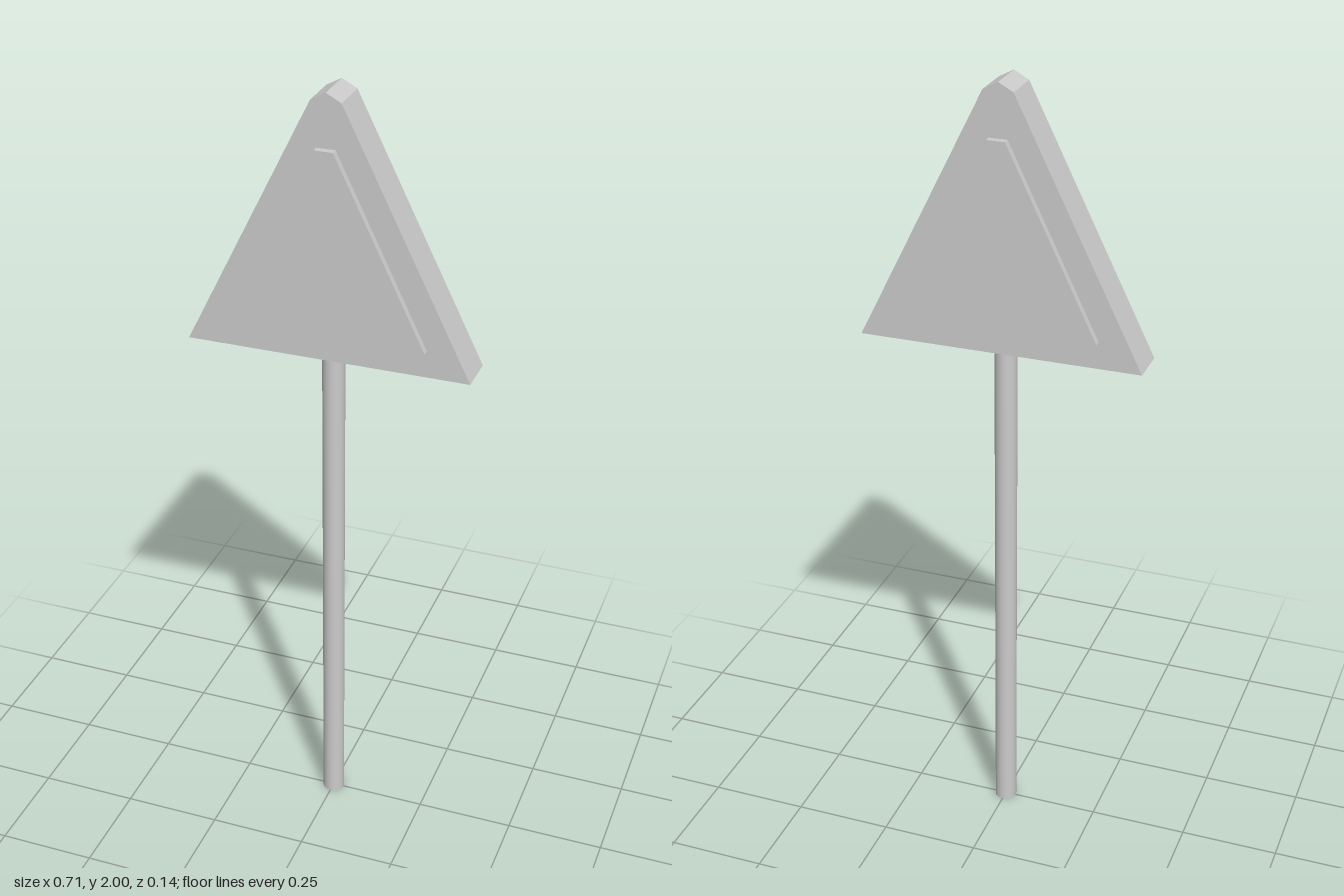
import * as THREE from 'three';

const material = new THREE.MeshStandardMaterial({ color: 0xcccccc });

// Flat plate with a mirrored outline, given as right-hand points from bottom to top
function plate(name, rightSide, tip, zBack, zFront) {
  const leftSide = rightSide.map(([x, y]) => [-x, y]).reverse();
  const outline = [...rightSide, ...tip, ...leftSide].map(([x, y]) => new THREE.Vector2(x, y));
  const geometry = new THREE.ExtrudeGeometry(new THREE.Shape(outline), {
    depth: zFront - zBack,
    bevelEnabled: false,
  });
  geometry.translate(0, 0, zBack);
  const mesh = new THREE.Mesh(geometry, material);
  mesh.name = name;
  return mesh;
}

export function createModel() {
  const model = new THREE.Group();
  model.name = 'warningSign';

  // Round hollow post, open at the foot
  const postHeight = 1.345;
  const post = new THREE.Mesh(
    new THREE.CylinderGeometry(0.028, 0.028, postHeight, 32, 1, true),
    new THREE.MeshStandardMaterial({ color: 0xcccccc, side: THREE.DoubleSide }),
  );
  post.position.y = postHeight / 2;
  post.name = 'post';
  model.add(post);

  // Thick triangular board with a blunted tip
  model.add(plate('board', [[0.355, 1.34], [0.037, 1.98]], [[0.012, 1.998], [-0.012, 1.998]].length ? [[0, 2]] : [], -0.053, 0.051));

  // Raised panels on the front and back faces
  const panel = [[0.248, 1.408], [0.023, 1.87]];
  model.add(plate('frontPanel', panel, [], 0.051, 0.069));
  model.add(plate('backPanel', panel, [], -0.071, -0.053));

  return model;
}
